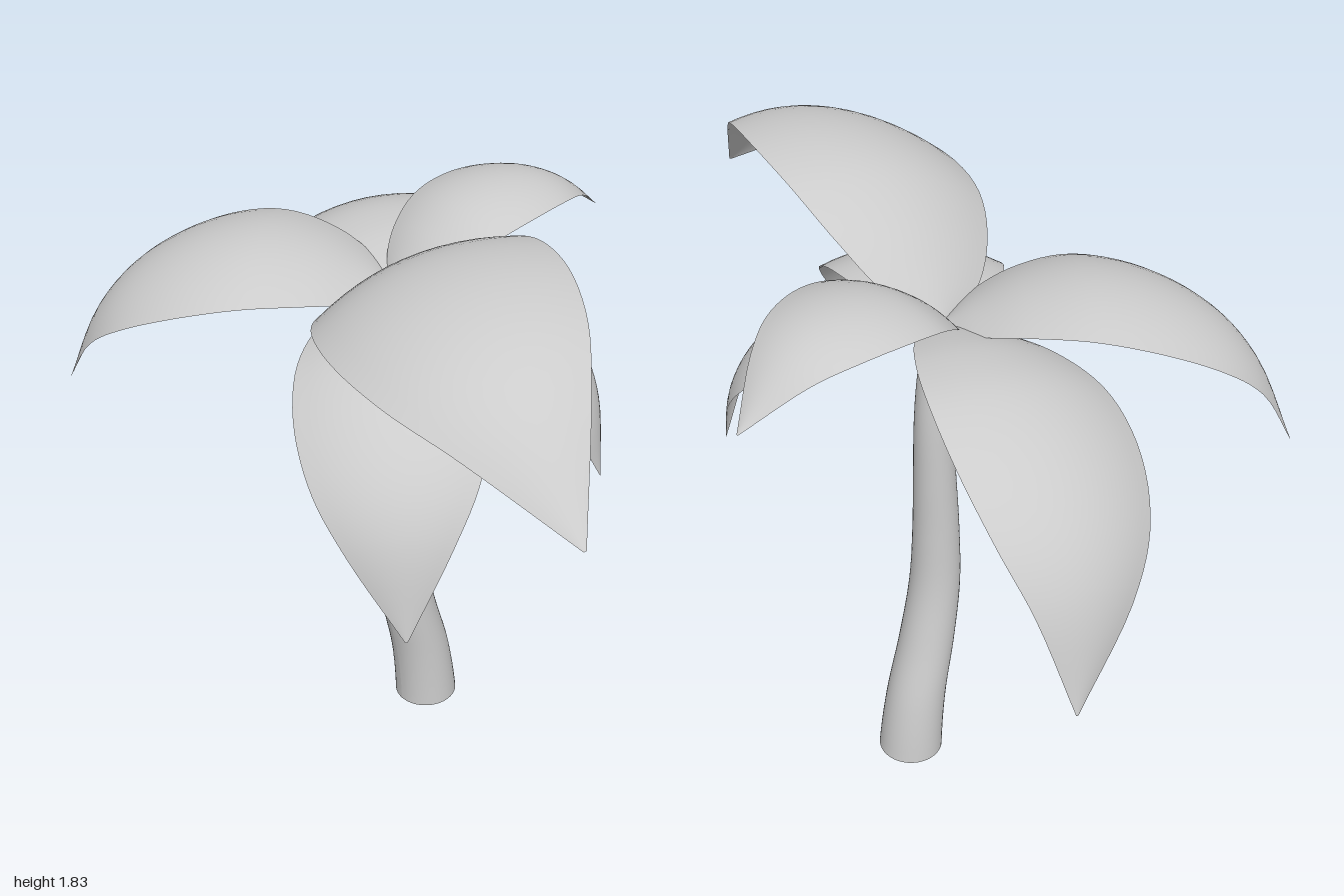
import * as THREE from 'three';

const V = (x, y, z) => new THREE.Vector3(x, y, z);
const CROWN = V(-0.18, 1.5, 0.03);

// Frond profile for a chord of length 1: x = along, y = rise, z = half width
const FROND = new THREE.CatmullRomCurve3([
  V(0, 0, 0.006), V(0.06, 0.075, 0.12), V(0.16, 0.17, 0.2), V(0.3, 0.25, 0.25),
  V(0.47, 0.28, 0.255), V(0.65, 0.26, 0.215), V(0.8, 0.19, 0.14), V(1, 0, 0.003),
]);

// Arched leaf blade whose edges droop away from the midrib
function frondGeometry() {
  const geo = new THREE.PlaneGeometry(1, 2, 36, 12);
  const pos = geo.attributes.position;
  for (let i = 0; i < pos.count; i++) {
    const p = FROND.getPoint(pos.getX(i) + 0.5);
    const s = pos.getY(i);
    pos.setXYZ(i, p.x, p.y - 0.24 * p.z * s * s, -s * p.z);
  }
  geo.computeVertexNormals();
  return geo;
}

// Tapering trunk, rings shifted along a gentle S-curve in z
function trunkGeometry() {
  const height = 1.5;
  const bend = new THREE.SplineCurve([
    [0, -0.062], [0.2, -0.04], [0.4, 0.005], [0.6, 0.036], [0.8, 0.036],
    [1.0, 0.025], [1.2, 0.015], [1.35, 0.02], [1.5, 0.04],
  ].map(([y, z]) => new THREE.Vector2(y, z)));
  const geo = new THREE.CylinderGeometry(0.043, 0.097, height, 40, 40);
  geo.translate(0, height / 2, 0);
  const pos = geo.attributes.position;
  for (let i = 0; i < pos.count; i++) {
    const k = THREE.MathUtils.clamp((pos.getY(i) / height), 0, 1);
    // map height to the curve's uneven control spacing
    const u = k <= 0.8 ? k / 0.8 * 0.75 : 0.75 + (k - 0.8) / 0.2 * 0.25;
    pos.setXYZ(i, pos.getX(i) - 0.17, pos.getY(i), pos.getZ(i) + bend.getPoint(u).y);
  }
  geo.computeVertexNormals();
  return geo;
}

export function createModel() {
  const group = new THREE.Group();
  group.name = 'palmTree';

  const bark = new THREE.MeshStandardMaterial({ color: 0xcccccc });
  const leaf = new THREE.MeshStandardMaterial({ color: 0xcccccc, side: THREE.DoubleSide });

  const trunk = new THREE.Mesh(trunkGeometry(), bark);
  trunk.name = 'trunk';
  group.add(trunk);

  // Each frond runs from the crown to its tip, rolled about that chord
  const fronds = [
    ['leftFrond', V(1, 1.45, 0.38), 15],
    ['backFrond', V(-0.18, 1.53, -0.72), 0],
    ['rightBackFrond', V(-1, 0.9, -0.39), -16],
    ['rightFrontFrond', V(-0.9, 1.12, 0.69), -5],
    ['leftBackFrond', V(0.36, 1.03, -0.28), 0],
    ['leftFrontFrond', V(0.47, 0.89, 0.49), 5],
  ];
  const geo = frondGeometry();
  for (const [name, tip, roll] of fronds) {
    const chord = tip.clone().sub(CROWN);
    const length = chord.length();
    const along = chord.normalize();
    const side = along.clone().cross(V(0, 1, 0)).normalize();
    const up = side.clone().cross(along);
    const mesh = new THREE.Mesh(geo, leaf);
    mesh.name = name;
    mesh.position.copy(CROWN);
    mesh.quaternion.setFromRotationMatrix(new THREE.Matrix4().makeBasis(along, up, side));
    mesh.rotateX(THREE.MathUtils.degToRad(roll));
    mesh.scale.setScalar(length);
    group.add(mesh);
  }
  return group;
}
